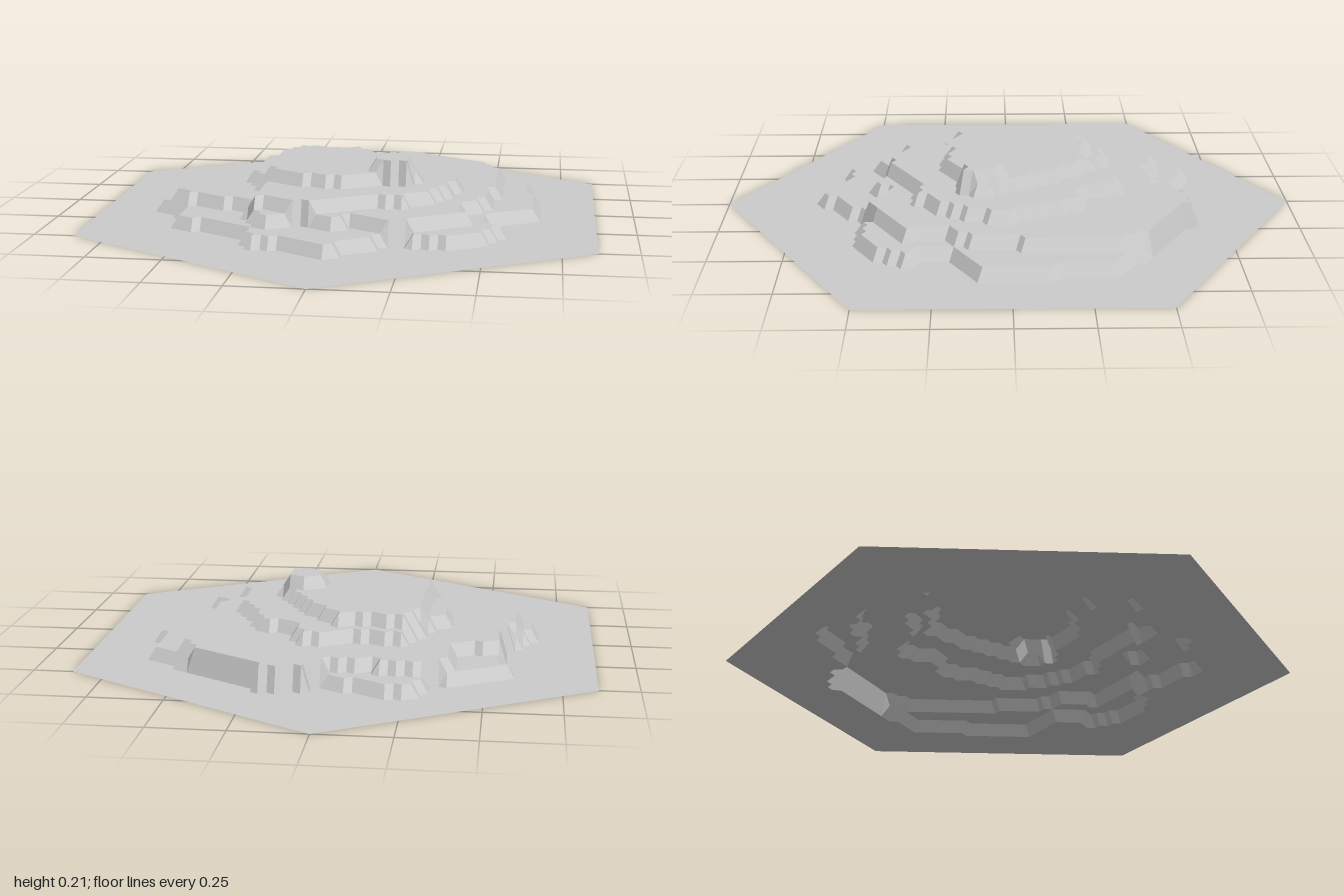
import * as THREE from 'three';

const N = 32;            // lattice cells along one hexagon edge
const STEP = 0.0422;     // height of one terrace
const DX = Math.sqrt(3) / 2 / N;

// Contour outlines from the foot of the hill to the summit, as x, z pairs
const foot = [
  -.265, -.66, -.14, -.64, -.065, -.6, .02, -.57, .085, -.615, .2, -.64, .285, -.58, .375, -.505,
  .455, -.465, .645, -.33, .655, .105, .61, .14, .485, .2, .51, .31, .55, .345, .485, .45,
  .36, .515, .27, .51, .245, .47, .14, .545, 0, .675, -.085, .62, -.14, .59, -.255, .585,
  -.305, .455, -.47, .38, -.55, .365, -.55, .22, -.655, .135, -.655, .015, -.58, -.1, -.555, -.16,
  -.55, -.28, -.57, -.4, -.42, -.48, -.31, -.535, -.285, -.625];
const shelf = [
  -.31, -.535, -.245, -.545, -.18, -.545, -.125, -.505, -.06, -.53, 0, -.52, .035, -.57, .085, -.615,
  .2, -.64, .285, -.58, .375, -.505, .455, -.465, .5, -.4, .53, -.32, .52, -.21, .525, -.08,
  .5, .05, .485, .16, .415, .2, .41, .24, .44, .355, .43, .38, .3, .43, .245, .47,
  .2, .51, .06, .43, 0, .475, -.065, .43, -.125, .44, -.21, .49, -.285, .41, -.31, .34,
  -.31, .275, -.445, .22, -.55, .185, -.6, .13, -.6, -.03, -.565, -.14, -.55, -.28, -.49, -.285,
  -.4, -.31, -.4, -.44, -.37, -.5];
const middle = [
  -.22, -.345, -.125, -.345, -.045, -.32, .015, -.385, .095, -.385, .15, -.345, .17, -.24, .285, -.24,
  .31, -.115, .385, -.015, .38, .08, .34, .2, .22, .315, .085, .335, -.02, .42, -.115, .43,
  -.275, .38, -.29, .18, -.31, .06, -.37, -.02, -.37, -.13, -.305, -.16, -.29, -.24];
const upper = [
  -.21, -.29, -.125, -.275, -.05, -.28, 0, -.29, .075, -.21, .14, -.12, .19, -.025, .25, .07,
  .24, .165, .14, .155, .06, .195, -.04, .24, -.095, .215, -.16, .215, -.295, .1, -.29, -.03,
  -.29, -.18, -.25, -.24];
const summit = [.085, .06, .17, .015, .22, .055, .245, .08, .24, .165, .14, .155, .085, .13];
const contours = [foot, shelf, middle, upper, summit];

// Even-odd test of a point against an outline
function inside(outline, x, z) {
  let hit = false;
  const n = outline.length;
  for (let a = 0, b = n - 2; a < n; b = a, a += 2) {
    const [xa, za, xb, zb] = [outline[a], outline[a + 1], outline[b], outline[b + 1]];
    if ((za > z) !== (zb > z) && x < xa + (xb - xa) * (z - za) / (zb - za)) hit = !hit;
  }
  return hit;
}

// Lattice point (i, j) with the terrace it stands on
function latticePoint(i, j) {
  const x = i * DX, z = (j + i / 2) / N;
  let level = 0;
  contours.forEach((outline, k) => { if (inside(outline, x, z)) level = k + 1; });
  return { level, xyz: [x, level * STEP, z] };
}

export function createModel() {
  const group = new THREE.Group();
  group.name = 'terracedHill';
  const material = new THREE.MeshStandardMaterial({
    color: 0xcccccc, flatShading: true, side: THREE.DoubleSide });

  const inHexagon = (i, j) => Math.max(Math.abs(i), Math.abs(j), Math.abs(i + j)) <= N;
  const points = new Map();
  for (let i = -N; i <= N; i++)
    for (let j = -N; j <= N; j++)
      if (inHexagon(i, j)) points.set(`${i},${j}`, latticePoint(i, j));

  // Sort triangles into level ground and sloping cliffs
  const parts = { ground: [], footTerrace: [], shelfTerrace: [], middleTerrace: [],
    upperTerrace: [], summit: [], cliffs: [] };
  const levelNames = Object.keys(parts);
  const addTriangle = (...keys) => {
    const corners = keys.map(([i, j]) => points.get(`${i},${j}`));
    if (corners.some(c => !c)) return;
    const flat = corners.every(c => c.level === corners[0].level);
    const part = parts[flat ? levelNames[corners[0].level] : 'cliffs'];
    corners.forEach(c => part.push(...c.xyz));
  };
  for (let i = -N; i < N; i++)
    for (let j = -N; j <= N; j++) {
      addTriangle([i, j], [i, j + 1], [i + 1, j]);
      addTriangle([i + 1, j], [i, j + 1], [i + 1, j + 1]);
    }

  for (const [name, positions] of Object.entries(parts)) {
    if (!positions.length) continue;
    const geometry = new THREE.BufferGeometry();
    geometry.setAttribute('position', new THREE.Float32BufferAttribute(positions, 3));
    geometry.computeVertexNormals();
    const mesh = new THREE.Mesh(geometry, material);
    mesh.name = name;
    group.add(mesh);
  }
  return group;
}
